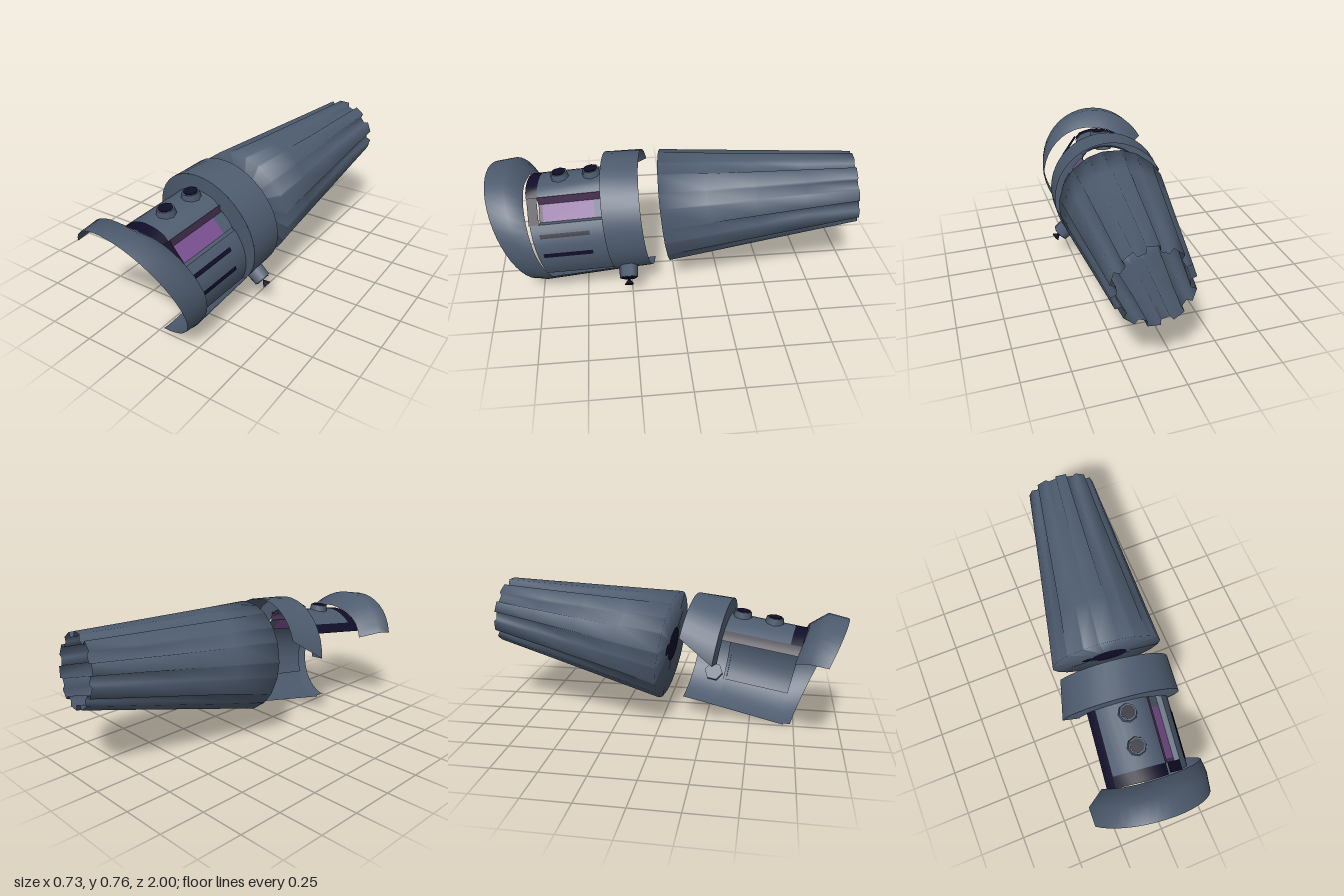
import * as THREE from 'three';

const mat = (name, color) => {
  const m = new THREE.MeshStandardMaterial({ color, side: THREE.DoubleSide });
  m.name = name;
  return m;
};
const rad = THREE.MathUtils.degToRad;
const lerp = THREE.MathUtils.lerp;
const clamp01 = (t) => THREE.MathUtils.clamp(t, 0, 1);

// Surface around the local z axis: rows along the profile, columns round the axis.
// point(row, t) returns [angle in degrees, radius, position along the axis].
function sweep(rows, cols, point, closed = false) {
  const pos = [], index = [], n = closed ? cols : cols + 1;
  for (let j = 0; j < rows; j++) {
    for (let i = 0; i < n; i++) {
      const [a, r, s] = point(j, i / cols, i);
      pos.push(r * Math.cos(rad(a)), r * Math.sin(rad(a)), s);
    }
  }
  for (let j = 0; j < rows - 1; j++) {
    for (let i = 0; i < cols; i++) {
      const k = (i + 1) % n, a = j * n + i, b = j * n + k;
      index.push(a, a + n, b, b, a + n, b + n);
    }
  }
  const g = new THREE.BufferGeometry();
  g.setAttribute('position', new THREE.Float32BufferAttribute(pos, 3));
  g.setIndex(index);
  g.computeVertexNormals();
  return g;
}

export function createModel() {
  const metal = mat('blue grey metal', 0x4d5b6e);
  const navy = mat('dark navy', 0x0f0e28);
  const purple = mat('purple glass', 0x7a5090);
  const plum = mat('dark plum', 0x4c3558);

  // The tilted body: local z runs forward along its axis
  const body = new THREE.Group();
  body.name = 'body';
  body.position.set(0.045, 0.47, 0.045);
  body.lookAt(0.045 - 0.122, 0.47 - 0.132, 0.045 + 0.984);
  const add = (name, geometry, material, parent = body) => {
    const m = new THREE.Mesh(geometry, material);
    m.name = name;
    parent.add(m);
    return m;
  };

  // Tapered rear grip: closed in front, open behind, ten grooves deepening to the rear
  const grooveAngles = [-9, 9, 11, 25];
  const gripRows = [[0, 0], [0.31, 0], [0.281, -0.25], [0.252, -0.5], [0.222, -0.76], [0.192, -1.025]];
  add('grip', sweep(gripRows.length, 40, (j, t, i) => {
    const [r, s] = gripRows[j];
    const depth = i % 4 > 1 ? 0.028 * Math.min(1, -s * 1.3) : 0;
    return [90 + 36 * Math.floor(i / 4) + grooveAngles[i % 4], r - depth, s];
  }, true), metal);

  // Dark socket on the front of the grip
  const socket = new THREE.Group();
  socket.name = 'socket';
  socket.position.z = 0.004;
  body.add(socket);
  add('socketDisc', new THREE.CircleGeometry(0.1, 24), navy, socket).position.x = 0.015;
  add('socketSlot', new THREE.PlaneGeometry(0.08, 0.05), navy, socket).position.x = -0.09;
  add('socketSlotEnd', new THREE.CircleGeometry(0.035, 14), navy, socket).position.x = -0.105;

  // Collar with an inward front flange; its left end is cut at a slant
  const collarRows = [[0.322, 0.1, 153], [0.33, 0.3, 172]];
  const flangeRows = [[0.33, 0.3], [0.24, 0.31]];
  add('collar', sweep(2, 26, (j, t) => {
    const [r, s, end] = collarRows[j];
    return [lerp(-82, end, t), r, s];
  }), metal);
  add('collarFlange', sweep(2, 24, (j, t) => {
    const a = lerp(-42, 172, t);
    return [a, j ? Math.min(0.33, coreRadius(a)) - 0.01 : flangeRows[j][0], flangeRows[j][1]];
  }), metal);

  // Lower side panel joining the collar and the front lip
  add('sidePanel', sweep(3, 6, (j, t) =>
    [lerp(-82, -38, t), lerp(0.33, 0.352, j / 2), lerp(0.29, 0.7, j / 2)]), metal);

  // Slanted front lip, turned in towards the core along its top
  add('lip', sweep(3, 28, (j, t) => {
    const a = lerp(-81, 152, t), up = Math.sin(rad(a));
    const rear = lerp(0.345, 0.25, clamp01(a / 90));
    return [a, [0.342, 0.35, rear][j], [0.83 + 0.095 * up, 0.74 + 0.075 * up, 0.68 + 0.05 * up][j]];
  }), metal);

  // Core shell, wider towards its lower edge
  function coreRadius(a) {
    return a > 58 ? 0.25 : lerp(0.237, 0.32, clamp01((22 - a) / 67));
  }
  const coreFront = (a) => 0.7 + 0.025 * Math.sin(rad(a));
  const corePatch = (name, a0, a1, s0, s1, material, lift = 0, cols = 8) =>
    add(name, sweep(2, cols, (j, t) => {
      const a = lerp(a0, a1, t);
      return [a, coreRadius(a) + lift, j ? s1 ?? coreFront(a) : s0];
    }), material);
  corePatch('coreDeck', 58, 128, 0.29, 0.66, metal);
  corePatch('coreLeftEdge', 128, 142, 0.29, undefined, navy, 0, 3);
  corePatch('coreFrontBand', 58, 128, 0.66, undefined, navy);
  corePatch('coreSide', -45, 23, 0.29, undefined, metal);
  for (const a of [9, -14]) corePatch('vent', a - 2.5, a + 2.5, 0.39, 0.66, navy, 0.005, 2);

  // Recessed window with walls above, below and at both ends
  const strip = (name, a0, r0, a1, r1, s0, s1, material) =>
    add(name, sweep(2, 1, (j, t) => [t ? a1 : a0, t ? r1 : r0, j ? s1 : s0]), material);
  strip('window', 25, 0.208, 52, 0.208, 0.36, 0.64, purple);
  strip('windowTopWall', 52, 0.208, 58, 0.25, 0.29, 0.66, plum);
  strip('windowSill', 23, 0.237, 25, 0.208, 0.29, 0.66, metal);
  strip('windowRearEnd', 25, 0.208, 52, 0.208, 0.29, 0.36, metal);
  strip('windowFrontEnd', 25, 0.208, 52, 0.208, 0.64, 0.66, plum);
  strip('windowFrontBand', 23, 0.237, 58, 0.25, 0.66, 0.715, navy);

  // Fittings standing outward from the body
  const fitting = (name, angle, r, s) => {
    const g = new THREE.Group();
    g.name = name;
    g.position.set(r * Math.cos(rad(angle)), r * Math.sin(rad(angle)), s);
    g.rotation.z = rad(angle - 90);
    body.add(g);
    return g;
  };
  for (const s of [0.37, 0.545]) {
    const bolt = fitting('bolt', 90, 0.25, s);
    add('boltRim', new THREE.CylinderGeometry(0.046, 0.055, 0.06, 8), metal, bolt);
    add('boltHole', new THREE.CylinderGeometry(0.038, 0.038, 0.006, 8), navy, bolt).position.y = 0.031;
  }
  const knob = fitting('knob', -40, 0.345, 0.225);
  add('knobBase', new THREE.CylinderGeometry(0.05, 0.055, 0.09, 6), metal, knob);
  add('knobFace', new THREE.CylinderGeometry(0.042, 0.042, 0.006, 6), navy, knob).position.y = 0.046;
  const tip = add('knobTip', new THREE.ConeGeometry(0.026, 0.036, 6), navy, knob);
  tip.position.y = 0.065;
  tip.rotation.x = Math.PI;

  const model = new THREE.Group();
  model.name = 'model';
  model.add(body);
  return model;
}
